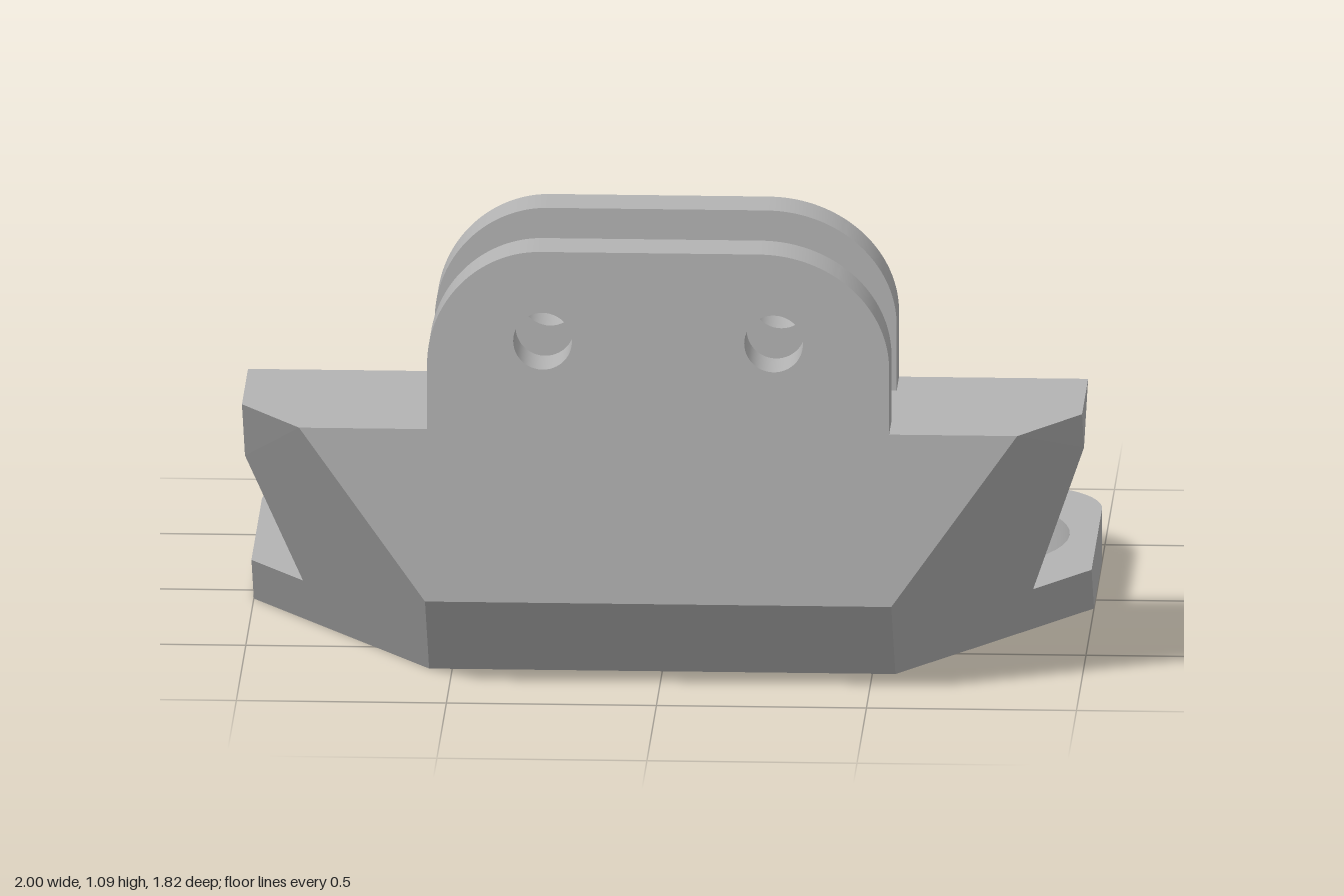
import * as THREE from 'three';
import { toCreasedNormals } from 'three/addons/utils/BufferGeometryUtils.js';
import { ConvexGeometry } from 'three/addons/geometries/ConvexGeometry.js';

const grey = new THREE.MeshStandardMaterial({ color: 0xb3b3b3 });
grey.name = 'plain grey';

const PLATE = 0.13;  // plate thickness
const BACK = 0.385;  // rear face of the block
const TOP = 0.65;    // top of the block
const FRONT = 0.91;

function addMesh(group, name, geometry) {
  const mesh = new THREE.Mesh(geometry, grey);
  mesh.name = name;
  group.add(mesh);
  return mesh;
}

function hull(points) {
  return new ConvexGeometry(points.map((p) => new THREE.Vector3(...p)));
}

function extrude(shape, depth) {
  const geo = new THREE.ExtrudeGeometry(shape, { depth, bevelEnabled: false, curveSegments: 24 });
  return toCreasedNormals(geo, 0.5);
}

function addHole(shape, x, y, r) {
  const hole = new THREE.Path();
  hole.absarc(x, y, r, 0, Math.PI * 2, false);
  shape.holes.push(hole);
}

// Corners of one end of the block; the outer side tapers in below height e
function blockEnd(s, e) {
  return [
    [s * 0.855, TOP, FRONT], [s, TOP, 0.705], [s, TOP, BACK],
    [s, e, (0.056 + 0.706 * e) / 0.725],
    [s * 0.869, PLATE, BACK], [s * 0.777, 0, BACK],
    [s * 0.555, 0, 0.69], [s * 0.555, 0.225, FRONT],
  ];
}

// Flat plate outline, drawn in x and z
function plateShape() {
  const q = Math.PI / 2;
  const s = new THREE.Shape();
  s.moveTo(0.777, BACK);
  s.lineTo(1, 0.077);
  s.absarc(0.79, -0.345, 0.21, 0, -q, true);
  s.lineTo(0.44, -0.555);
  s.lineTo(0.44, -FRONT);
  s.lineTo(0.27, -FRONT);
  s.absarc(0.08, -0.767, 0.19, 0, q, false);
  s.absarc(-0.08, -0.767, 0.19, q, 2 * q, false);
  s.lineTo(-0.27, -FRONT);
  s.lineTo(-0.44, -FRONT);
  s.lineTo(-0.44, -0.555);
  s.absarc(-0.79, -0.345, 0.21, -q, -2 * q, true);
  s.lineTo(-1, 0.077);
  s.lineTo(-0.777, BACK);
  for (const side of [-1, 1]) {
    addHole(s, side * 0.577, -0.11, 0.357);
    addHole(s, side * 0.357, -0.777, 0.045);
  }
  return s;
}

// Upright lug with rounded top corners and two pin holes
function lugShape() {
  const q = Math.PI / 2;
  const s = new THREE.Shape();
  s.moveTo(-0.55, TOP);
  s.lineTo(0.55, TOP);
  s.absellipse(0.24, 0.81, 0.31, 0.28, 0, q, false, 0);
  s.absellipse(-0.28, 0.81, 0.27, 0.28, q, 2 * q, false, 0);
  s.lineTo(-0.55, TOP);
  for (const side of [-1, 1]) addHole(s, side * 0.275, 0.87, 0.07);
  return s;
}

export function createModel() {
  const model = new THREE.Group();
  model.name = 'mountingBracket';

  addMesh(model, 'block', hull([...blockEnd(1, 0.54), ...blockEnd(-1, 0.48)]));

  const plate = extrude(plateShape(), PLATE);
  plate.rotateX(Math.PI / 2);
  plate.translate(0, PLATE, 0);
  addMesh(model, 'plate', plate);

  // Sloped edges that carry the block's side chamfer into the plate
  for (const s of [-1, 1]) {
    addMesh(model, s > 0 ? 'leftPlateChamfer' : 'rightPlateChamfer', hull([
      [s * 0.777, 0, BACK], [s, 0, 0.077],
      [s * 0.777, PLATE, BACK], [s, PLATE, 0.077],
      [s * 0.869, PLATE, BACK], [s, PLATE, 0.204],
    ]));
  }

  const lug = extrude(lugShape(), 0.126);
  addMesh(model, 'frontLug', lug).position.z = FRONT - 0.126;
  addMesh(model, 'rearLug', lug).position.z = BACK;

  return model;
}
